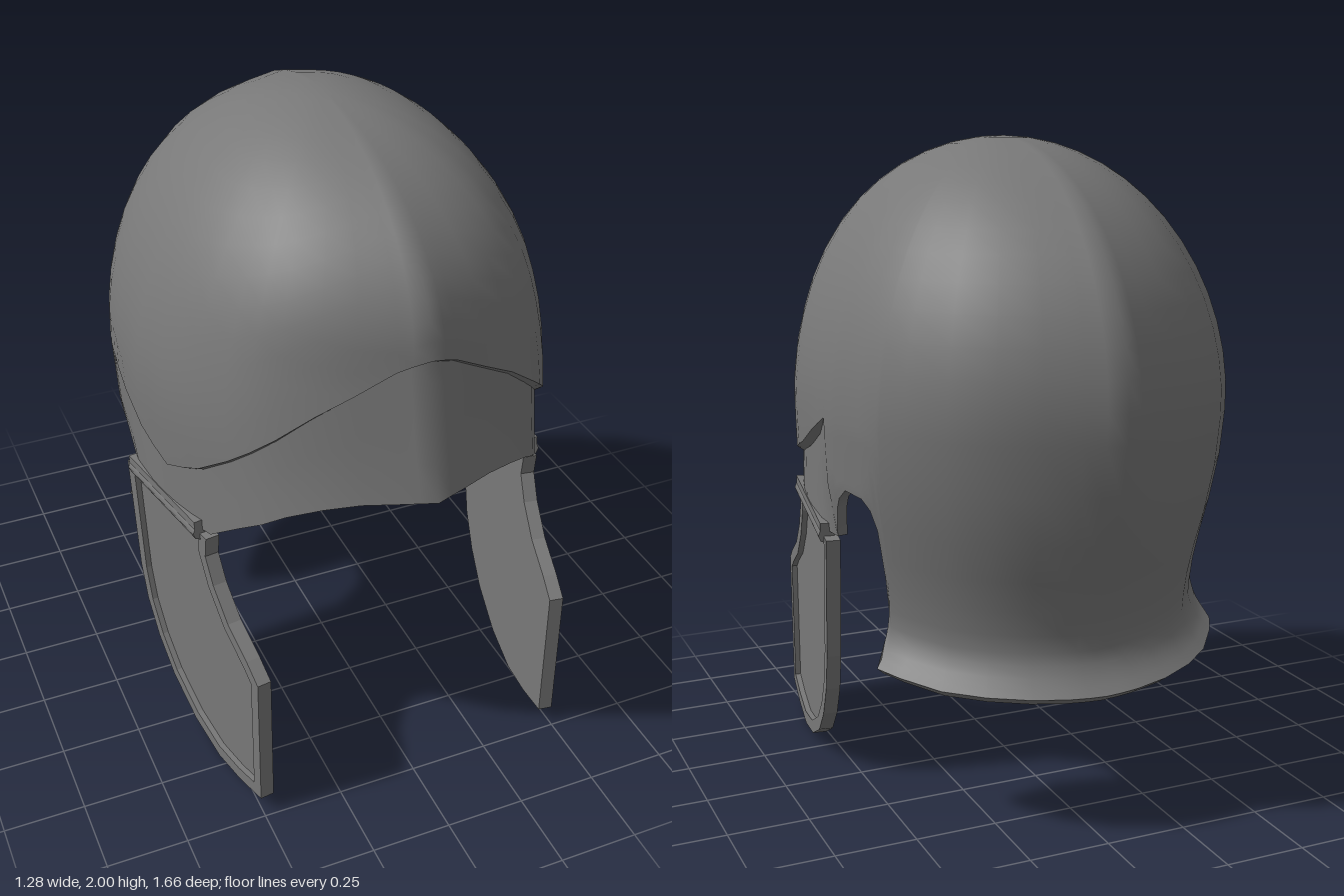
import * as THREE from 'three';
import { mergeGeometries, mergeVertices } from 'three/addons/utils/BufferGeometryUtils.js';

const steel = new THREE.MeshStandardMaterial({ color: 0x787878, side: THREE.DoubleSide });
steel.name = 'steel';

// Linear lookup in a list of [key, value] pairs with rising keys
function lookup(table, k) {
  if (k <= table[0][0]) return table[0][1];
  for (let i = 1; i < table.length; i++) {
    const [k0, v0] = table[i - 1], [k1, v1] = table[i];
    if (k <= k1) return v0 + (v1 - v0) * (k - k0) / (k1 - k0);
  }
  return table[table.length - 1][1];
}

// Edges as [angle from the front, height]
const SEAM = 1.72, FLANGE = 2.08;
const browEdge = [[0, 1.52], [0.15, 1.485], [0.5, 1.36], [0.79, 1.225], [1.06, 1.1], [1.26, 1.03], [1.44, 1.08], [SEAM, 1.2]];
const visorEdge = [[0, 1.105], [0.33, 1.1], [0.5, 1.08], [0.67, 1.04], [0.9, 0.95], [1.06, 0.87], [SEAM, 0.83]];
const neckEdge = [[SEAM, 0.83], [1.77, 0.93], [1.8, 0.965], [1.86, 1.0], [1.965, 0.99], [2.01, 0.96], [2.04, 0.9],
  [2.06, 0.75], [2.07, 0.6], [FLANGE, 0.49], [2.4, 0.465], [Math.PI, 0.45]];
// Half width and back depth below the dome
const lowWidth = [[0.4, 0.56], [0.6, 0.572], [0.7, 0.58], [0.85, 0.602], [1.0, 0.63], [1.2, 0.64]];
const lowBack = [[0.4, 0.635], [0.6, 0.65], [0.75, 0.68], [0.85, 0.72], [1.0, 0.78], [1.15, 0.818], [1.27, 0.83]];

const frontCols = [0, 0.08, 0.15, 0.33, 0.5, 0.67, 0.79, 0.9, 1.06, 1.16, 1.26, 1.35, 1.44, 1.58, 1.66, SEAM];
const backCols = [...neckEdge.map(p => p[0]), 2.2, 2.6, 2.8, 2.97, 3.06].sort((a, b) => a - b);
const halfCols = [...frontCols, ...backCols.slice(1)];
const mirrored = cols => [...cols.slice(1).reverse().map(a => -a), ...cols];

const fold = a => (Math.abs(a) > Math.PI ? 2 * Math.PI - Math.abs(a) : Math.abs(a));
const bulge = (y, mid, tall) => Math.sqrt(Math.max(0, 1 - ((y - mid) / tall) ** 2));

// Point of the shell at an angle and height; the visor lies slightly inside the dome
function shellPoint(angle, y, visor = false, inset = 0) {
  const a = fold(angle), side = Math.sin(angle) < 0 ? -1 : 1;
  let w = y > 1.2 ? 0.64 * bulge(y, 1.2, 0.8) : lookup(lowWidth, y);
  let f = y > 1.5 ? 0.76 * bulge(y, 1.5, 0.5) : 0.76 + (1.5 - y) * 0.24;
  const b = y > 1.27 ? 0.83 * bulge(y, 1.27, 0.73) : lookup(lowBack, y);
  if (visor) {
    w = THREE.MathUtils.lerp(0.61, w, THREE.MathUtils.smoothstep(a, 1.6, SEAM));
    f = 0.742 + (1.5 - y) * 0.23;
  }
  const s = Math.sin(a), c = Math.cos(a);
  // The dome comes to a soft ridge at front and back
  const ridge = 0.35 * THREE.MathUtils.smoothstep(y, 0.8, 1.2) * s * (1 - s) ** 2;
  const k = 1 - inset / 0.65;
  return [side * w * s * k, y, (c > 0 ? f : b) * c * (1 - ridge) * k];
}

// The lower edge of the neck guard flares outwards
const flare = (a, rise) => (fold(a) >= FLANGE ? 0.09 * Math.max(0, 1 - rise / 0.13) ** 2 : 0);

function neckPoint(a, t) {
  const low = lookup(neckEdge, fold(a)), y = low + (1.2 - low) * t;
  return shellPoint(a, y, false, -flare(a, y - low));
}

// Inner wall of the helmet
function liningPoint(a, t) {
  const low = lookup(fold(a) < SEAM ? visorEdge : neckEdge, fold(a));
  const y = t === 1 ? 2 : low + (2 - low) * t;
  const p = shellPoint(a, y, false, 0.035 - flare(a, y - low));
  p[1] -= 0.03 * THREE.MathUtils.smoothstep(y, 1.2, 2);
  if (t === 0 && fold(a) >= FLANGE) p[1] -= 0.025;
  return p;
}

// Surface over columns and rows
function grid(cols, rows, fn) {
  const pos = [], index = [], n = rows.length;
  cols.forEach(a => rows.forEach(t => pos.push(...fn(a, t))));
  for (let i = 0; i < cols.length - 1; i++) {
    for (let j = 0; j < n - 1; j++) {
      const p = i * n + j, q = p + n;
      index.push(p, q, p + 1, q, q + 1, p + 1);
    }
  }
  const g = new THREE.BufferGeometry();
  g.setAttribute('position', new THREE.Float32BufferAttribute(pos, 3));
  g.setIndex(index);
  return g;
}

function smooth(...parts) {
  const g = mergeVertices(mergeGeometries(parts));
  g.computeVertexNormals();
  return g;
}

function addMesh(parent, name, geometry) {
  const mesh = new THREE.Mesh(geometry, steel);
  mesh.name = name;
  parent.add(mesh);
  return mesh;
}

// Moves the corners of an outline inwards
function insetOutline(points, d) {
  const n = points.length;
  const turn = THREE.ShapeUtils.area(points) > 0 ? 1 : -1;
  const normal = (p, q) => new THREE.Vector2(p.y - q.y, q.x - p.x).normalize().multiplyScalar(turn);
  return points.map((p, i) => {
    const m = normal(points[(i + n - 1) % n], p).add(normal(p, points[(i + 1) % n]));
    return p.clone().addScaledVector(m, d * 2 / m.lengthSq());
  });
}

function cheekSide() {
  const side = new THREE.Group();

  // Cheek plate: flat panel inside a raised rim, drawn in z and y
  const plate = new THREE.Group();
  plate.name = 'cheekPlate';
  const outline = [[0.44, 0.86], [0.43, 0.79], [0.475, 0.71], [0.56, 0.625], [0.67, 0.565], [0.735, 0.52], [0.735, 0.06],
    [0.6, 0.022], [0.46, 0.002], [0.3, 0.03], [0.15, 0.105], [0.05, 0.2], [-0.02, 0.31], [-0.055, 0.43], [-0.1, 0.815]]
    .map(p => new THREE.Vector2(...p));
  const inner = insetOutline(outline, 0.042);
  // The panel runs up under the hinge
  inner[0].y += 0.025;
  inner[inner.length - 1].y += 0.025;
  const rim = new THREE.Shape(outline);
  rim.holes.push(new THREE.Path(inner));
  const extrude = (shape, depth) => new THREE.ExtrudeGeometry(shape, { depth, bevelEnabled: false });
  addMesh(plate, 'cheekRim', extrude(rim, 0.044).rotateY(-Math.PI / 2).translate(0.022, 0, 0));
  addMesh(plate, 'cheekPanel', extrude(new THREE.Shape(inner), 0.026).rotateY(-Math.PI / 2).translate(0.004, 0, 0));
  plate.position.x = 0.59;
  plate.rotation.y = -0.145;
  side.add(plate);

  // Hinge: a pin with a flat leaf above it
  const front = new THREE.Vector3(0.55, 0.86, 0.4), back = new THREE.Vector3(0.612, 0.82, -0.055);
  const along = back.clone().sub(front), length = along.length();
  const hinge = new THREE.Group();
  hinge.name = 'hinge';
  hinge.position.copy(front).add(back).multiplyScalar(0.5);
  hinge.quaternion.setFromUnitVectors(new THREE.Vector3(0, 0, -1), along.normalize());
  addMesh(hinge, 'hingePin', new THREE.CylinderGeometry(0.025, 0.025, length, 8).rotateX(Math.PI / 2));
  addMesh(hinge, 'hingeLeaf', new THREE.BoxGeometry(0.03, 0.036, length)).position.set(0.004, 0.022, 0);
  side.add(hinge);
  return side;
}

export function createModel() {
  const model = new THREE.Group();
  model.name = 'helmet';
  const visorCols = mirrored(frontCols);
  const neckCols = [...backCols, ...backCols.slice(0, -1).reverse().map(a => 2 * Math.PI - a)];

  // Dome, joined smoothly to the neck guard
  const domeRows = Array.from({ length: 15 }, (_, i) => Math.sin(i / 14 * Math.PI / 2));
  const dome = grid(mirrored(halfCols), domeRows, (a, t) => {
    const low = fold(a) > SEAM ? 1.2 : lookup(browEdge, fold(a));
    return shellPoint(a, t === 1 ? 2 : low + (2 - low) * t);
  });
  const neck = grid(neckCols, [0, 0.03, 0.06, 0.1, 0.15, 0.22, 0.32, 0.45, 0.6, 0.8, 1], neckPoint);
  addMesh(model, 'domeAndNeckGuard', smooth(dome, neck));

  // Brow visor with its side tabs
  const visorPoint = (a, t) => {
    const low = lookup(visorEdge, fold(a)), high = lookup(browEdge, fold(a)) + 0.04;
    return shellPoint(a, low + (high - low) * t, true);
  };
  addMesh(model, 'visor', smooth(grid(visorCols, [0, 0.25, 0.5, 0.75, 1], visorPoint)));

  // Inner wall
  const liningRows = [0, 0.03, 0.06, 0.1, 0.15, 0.22, 0.3, 0.4, 0.5, 0.6, 0.7, 0.8, 0.88, 0.94, 0.98, 1];
  addMesh(model, 'lining', smooth(grid(mirrored(halfCols), liningRows, liningPoint)));

  // Thickness along the open edges
  addMesh(model, 'domeLip', smooth(grid(visorCols, [0.025, 0], (a, t) =>
    shellPoint(a, lookup(browEdge, fold(a)) - t * 0.7, false, t))));
  addMesh(model, 'visorLip', smooth(grid(visorCols, [1, 0], (a, t) => (t ? liningPoint(a, 0) : visorPoint(a, 0)))));
  addMesh(model, 'neckLip', smooth(grid(neckCols, [1, 0], (a, t) => (t ? liningPoint(a, 0) : neckPoint(a, 0)))));

  // Cheek plates and hinges on both sides
  const left = cheekSide(), right = cheekSide();
  left.name = 'leftCheek';
  right.name = 'rightCheek';
  right.scale.x = -1;
  model.add(left, right);
  return model;
}
